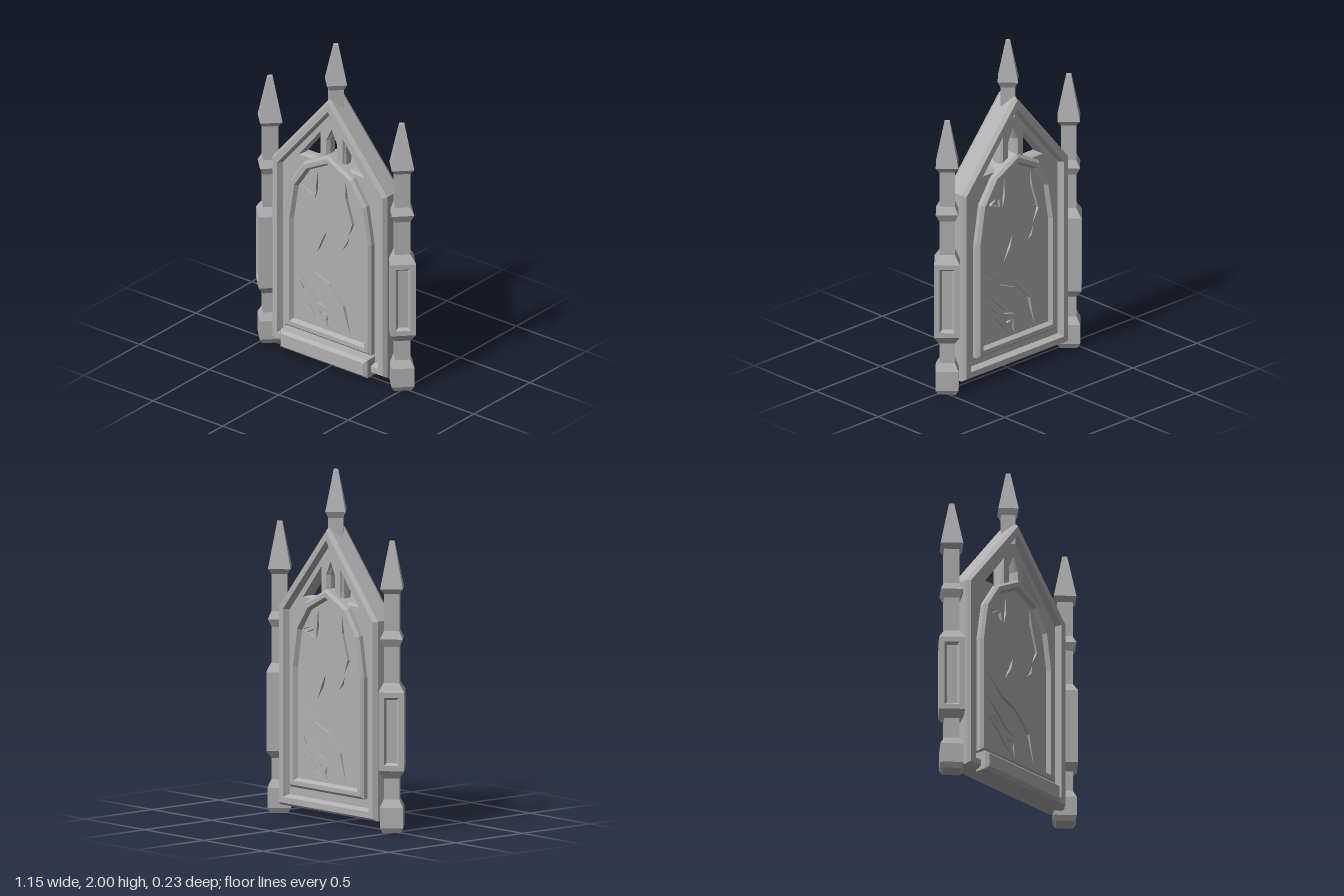
import * as THREE from 'three';

const ZC = -0.011; // mid plane of the body
const stone = new THREE.MeshStandardMaterial({ color: 0xb0b0b0, flatShading: true });
stone.name = 'grey stone';

function mesh(name, geometry) {
  const m = new THREE.Mesh(geometry, stone);
  m.name = name;
  return m;
}

const toShape = (pts) => new THREE.Shape(pts.map(([x, y]) => new THREE.Vector2(x, y)));

// Mirror a right-hand outline (bottom to top, ending on x = 0) into a closed loop
const mirrored = (half) => [...half, ...half.filter((p) => p[0] > 0).reverse().map(([x, y]) => [-x, y])];

const rect = (w, y0, y1) => [[w, y0], [w, y1], [-w, y1], [-w, y0]];

// Move every edge of a counter-clockwise outline inwards by d
function inset(pts, d) {
  const n = pts.length;
  const normal = (a, b) => {
    const l = Math.hypot(b[0] - a[0], b[1] - a[1]);
    return [-(b[1] - a[1]) / l, (b[0] - a[0]) / l];
  };
  return pts.map((p, i) => {
    const a = normal(pts[(i + n - 1) % n], p), b = normal(p, pts[(i + 1) % n]);
    const k = d / (1 + a[0] * b[0] + a[1] * b[1]);
    return [p[0] + (a[0] + b[0]) * k, p[1] + (a[1] + b[1]) * k];
  });
}

// Moulding: rings of [inset, z] along an outline, optionally closed by a flat face
function moulding(outline, rings, capped) {
  const n = outline.length, pos = [], index = [];
  rings.forEach(([d, z]) => inset(outline, d).forEach(([x, y]) => pos.push(x, y, z)));
  for (let r = 0; r < rings.length - 1; r++) {
    for (let i = 0; i < n; i++) {
      const a = r * n + i, b = r * n + (i + 1) % n;
      index.push(a, b, b + n, a, b + n, a + n);
    }
  }
  const last = (rings.length - 1) * n;
  if (capped) for (let i = 1; i < n - 1; i++) index.push(last, last + i, last + i + 1);
  const g = new THREE.BufferGeometry();
  g.setAttribute('position', new THREE.Float32BufferAttribute(pos, 3));
  g.setIndex(index);
  g.computeVertexNormals();
  return g;
}

// Four-sided turned profile of [radius, y]
const turned = (profile) =>
  new THREE.LatheGeometry(profile.map(([r, y]) => new THREE.Vector2(r, y)), 4);

// Tapering crack outline around a polyline
function crack(path, width) {
  const left = [], right = [], n = path.length;
  for (let i = 1; i < n - 1; i++) {
    const dx = path[i + 1][0] - path[i - 1][0], dy = path[i + 1][1] - path[i - 1][1];
    const k = width / 2 / Math.hypot(dx, dy);
    left.push([path[i][0] - dy * k, path[i][1] + dx * k]);
    right.unshift([path[i][0] + dy * k, path[i][1] - dx * k]);
  }
  return [path[0], ...left, path[n - 1], ...right];
}

const house = mirrored([[0.412, 0.055], [0.412, 1.19], [0, 1.68]]);
const arch = mirrored([[0.31, 0.17], [0.31, 0.86], [0.272, 1.09], [0.175, 1.235], [0, 1.327]]);

// Everything that appears on both the front and the back
function createFace() {
  const face = new THREE.Group();
  face.name = 'face';
  face.add(mesh('gableFrame', moulding(house,
    [[0, 0], [0, 0.052], [0.016, 0.076], [0.05, 0.076], [0.066, 0.035]])));
  face.add(mesh('archFrame', moulding(arch,
    [[0, 0], [0, 0.066], [0.015, 0.083], [0.04, 0.083], [0.062, 0.045]])));

  // Cracked slab
  const cracks = [
    crack([[-0.255, 1.03], [-0.13, 1.005], [0, 0.83], [0.115, 0.7], [0.16, 0.6], [0.255, 0.56]], 0.02),
    crack([[-0.022, 0.838], [-0.045, 0.775], [-0.09, 0.69]], 0.018),
    crack([[0.095, 0.766], [0.125, 0.8], [0.14, 0.85]], 0.012),
    crack([[0.115, 1.2], [0.125, 1.09], [0.172, 0.94], [0.135, 0.86]], 0.018),
    crack([[-0.257, 0.69], [-0.11, 0.565], [0, 0.52], [0.105, 0.41], [0.155, 0.222]], 0.02),
    crack([[-0.257, 0.55], [-0.18, 0.48], [-0.08, 0.38], [0, 0.35]], 0.018),
    crack([[-0.257, 0.43], [-0.15, 0.35], [-0.1, 0.29], [-0.025, 0.222]], 0.018),
    crack([[-0.21, 0.48], [-0.185, 0.43], [-0.14, 0.39]], 0.014),
    crack([[-0.085, 0.35], [-0.06, 0.315], [-0.02, 0.325]], 0.014),
    crack([[-0.015, 0.32], [-0.02, 0.28], [-0.005, 0.23]], 0.012),
    crack([[-0.085, 1.2], [-0.088, 1.1], [-0.1, 1.02]], 0.018),
    [[-0.18, 1.06], [-0.115, 1.035], [-0.125, 1.085]],
    [[-0.215, 1.075], [-0.19, 1.06], [-0.15, 1.095]],
  ];
  const slab = toShape(inset(arch, 0.045));
  slab.holes = cracks.map(toShape);
  const slabMesh = mesh('crackedSlab', new THREE.ExtrudeGeometry(slab, { depth: 0.02, bevelEnabled: false }));
  slabMesh.position.z = 0.038;
  face.add(slabMesh);
  return face;
}

// Corner pillar with recessed panels on its two outer faces
function createPillar(side) {
  const pillar = new THREE.Group();
  pillar.name = side > 0 ? 'leftPillar' : 'rightPillar';
  pillar.add(mesh('pillarBase', turned([[0, 0], [0.07, 0], [0.092, 0.03], [0.092, 0.145],
    [0.062, 0.19], [0.062, 0.31], [0.102, 0.355]])));
  pillar.add(mesh('pillarTop', turned([[0.102, 0.8], [0.062, 0.85], [0.062, 1.055], [0.09, 1.1],
    [0.062, 1.145], [0.062, 1.355], [0.09, 1.385], [0.02, 1.65], [0, 1.65]])));
  const d = 0.102 / Math.SQRT2;
  for (let k = 0; k < 4; k++) {
    const angle = Math.PI / 4 + k * Math.PI / 2;
    const outer = Math.sin(angle) * side > 0;
    const rings = outer ? [[0, d], [0.03, d], [0.044, d - 0.018]] : [[0, d]];
    const panel = mesh(outer ? 'recessedPanel' : 'plainPanel', moulding(rect(d, 0.355, 0.8), rings, true));
    panel.rotation.y = angle;
    pillar.add(panel);
  }
  pillar.position.set(side * 0.474, 0, ZC);
  return pillar;
}

export function createModel() {
  const model = new THREE.Group();
  model.name = 'gothicPanel';

  // Front and back
  const front = createFace();
  front.position.z = ZC;
  const back = createFace();
  back.position.z = ZC;
  back.rotation.y = Math.PI;
  model.add(front, back);

  // Infill with pierced tracery
  const infill = toShape(inset(house, 0.046));
  const sideHole = [[-0.235, 1.25], [-0.078, 1.25], [-0.078, 1.445]];
  infill.holes = [
    toShape(sideHole),
    toShape(sideHole.map(([x, y]) => [-x, y]).reverse()),
    toShape([[-0.038, 1.27], [0.038, 1.27], [0.038, 1.4], [0, 1.48], [-0.038, 1.4]]),
  ];
  const tracery = mesh('tracery', new THREE.ExtrudeGeometry(infill,
    { depth: 0.036, bevelThickness: 0.022, bevelSize: 0.014, bevelSegments: 1 }));
  tracery.position.z = ZC - 0.018;
  model.add(tracery);

  // Solid core behind the arch
  const core = mesh('archCore', new THREE.ExtrudeGeometry(toShape(inset(arch, 0.01)),
    { depth: 0.08, bevelEnabled: false }));
  core.position.z = ZC - 0.04;
  model.add(core);

  // Sill at the foot of the front
  model.add(mesh('sill', moulding(rect(0.312, 0.043, 0.155),
    [[0, 0.03], [0, 0.095], [0.017, 0.113]], true)));

  // Gable pinnacle
  const pinnacle = mesh('gablePinnacle', turned([[0, 1.55], [0.058, 1.55], [0.058, 1.73],
    [0.081, 1.765], [0.018, 2], [0, 2]]));
  pinnacle.position.z = ZC;
  model.add(pinnacle);

  model.add(createPillar(1), createPillar(-1));
  return model;
}
